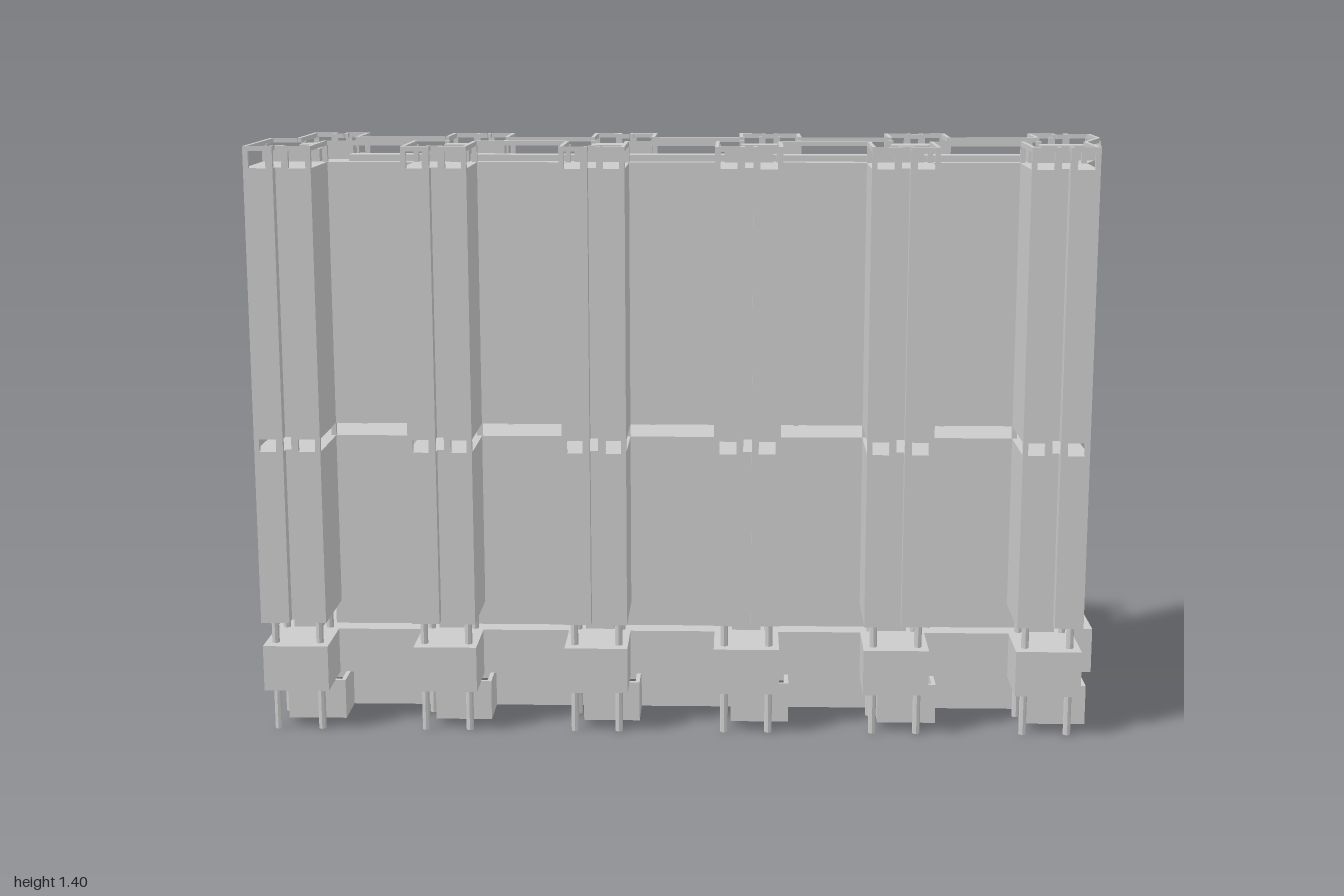
import * as THREE from 'three';

const grey = new THREE.MeshStandardMaterial({ color: 0xcccccc, flatShading: true });

// x ranges of the wings, front (left to right); the back row is the front turned half round
const frontWings = [[-1, -0.845], [-0.64, -0.49], [-0.28, -0.13], [0.075, 0.23], [0.43, 0.585], [0.79, 0.945]];
const backWings = frontWings.map(([a, b]) => [-a, -b]);
backWings[5] = [-0.795, -0.935];

function add(group, name, geometry, x = 0, y = 0, z = 0) {
  const mesh = new THREE.Mesh(geometry, grey);
  mesh.name = name;
  mesh.position.set(x, y, z);
  group.add(mesh);
  return mesh;
}

// Box given by its limits
function box(group, name, x0, x1, y0, y1, z0, z1) {
  add(group, name, new THREE.BoxGeometry(x1 - x0, y1 - y0, z1 - z0), (x0 + x1) / 2, (y0 + y1) / 2, (z0 + z1) / 2);
}

// Wings as teeth of an outline, walked from a to b, with an optional notch in the tip
function teeth(wings, base, tip, notch) {
  return wings.flatMap(([a, b]) => {
    const c = (a + b) / 2, d = 0.01 * Math.sign(b - a), inner = tip - 0.03 * Math.sign(tip);
    const cut = notch ? [[c - d, tip], [c - d, inner], [c + d, inner], [c + d, tip]] : [];
    return [[a, base], [a, tip], ...cut, [b, tip], [b, base]];
  });
}

// Upright solid from an x-z outline
function slab(group, name, outline, y0, y1) {
  const shape = new THREE.Shape(outline.map(([x, z]) => new THREE.Vector2(x, -z)));
  const geo = new THREE.ExtrudeGeometry(shape, { depth: y1 - y0, bevelEnabled: false });
  geo.rotateX(-Math.PI / 2);
  add(group, name, geo, 0, y0, 0);
}

// Thin walls or rails along every edge of an outline, kept just inside it
function edges(group, name, outline, y0, y1, t) {
  outline.forEach(([x, z], i) => {
    const [u, v] = outline[(i + 1) % outline.length];
    const len = Math.hypot(u - x, v - z);
    if (len < 0.001) return;
    const nx = (v - z) / len, nz = -(u - x) / len;
    const mesh = add(group, name, new THREE.BoxGeometry(len, y1 - y0, t),
      (x + u) / 2 + nx * t / 2, (y0 + y1) / 2, (z + v) / 2 + nz * t / 2);
    mesh.rotation.y = Math.atan2(-(v - z), u - x);
  });
}

export function createModel() {
  const model = new THREE.Group();
  model.name = 'towerBlock';

  // Tower: two tall stages on the same notched footprint
  const tower = new THREE.Group();
  tower.name = 'tower';
  model.add(tower);
  const plan = [[-1, -0.045], ...teeth(frontWings, 0.055, 0.257, true),
    ...teeth(backWings, -0.1, -0.257, true), [-0.935, -0.045]];
  slab(tower, 'lowerStage', plan, 0.275, 0.69);
  slab(tower, 'upperStage', plan, 0.72, 1.35);
  edges(tower, 'roofRail', plan, 1.389, 1.4, 0.009);

  // Posts in the open floor and under the roof rail
  for (const [wings, base, tip] of [[frontWings, 0.055, 0.251], [backWings, -0.1, -0.251]]) {
    for (const [a, b] of wings) {
      const lo = Math.min(a, b), hi = Math.max(a, b), c = (a + b) / 2;
      for (const [y0, y1] of [[0.69, 0.72], [1.35, 1.392]]) {
        for (const x of [lo + 0.006, hi - 0.006]) {
          for (const z of [tip, base - 0.006 * Math.sign(base)])
            box(tower, 'cornerPost', x - 0.006, x + 0.006, y0, y1, z - 0.006, z + 0.006);
        }
        for (const x of [c - 0.018, c + 0.018])
          box(tower, 'notchPost', x - 0.008, x + 0.008, y0, y1, tip - 0.006, tip + 0.006);
      }
    }
  }

  // Machine rooms on the roof
  const roof = new THREE.Group();
  roof.name = 'roofRooms';
  model.add(roof);
  box(roof, 'roofSpine', -0.8, 0.8, 1.35, 1.365, -0.03, 0.02);
  for (const [a, b] of frontWings)
    box(roof, 'frontRoofRoom', a + 0.02, b - 0.02, 1.35, 1.38, -0.01, 0.045);
  for (const [a, b] of backWings)
    box(roof, 'backRoofRoom', b + 0.005, a - 0.005, 1.35, 1.385, -0.1, -0.04);

  // Recessed storey between podium and tower
  const base = new THREE.Group();
  base.name = 'base';
  model.add(base);
  box(base, 'recessedStorey', -0.86, 0.86, 0.21, 0.28, -0.08, 0.05);
  for (const [a, b] of frontWings) {
    const c = (a + b) / 2;
    box(base, 'lobby', c - 0.035, c + 0.035, 0.21, 0.28, 0.04, 0.085);
  }

  // Podium: a plain layer, and an upper layer with slanted recesses at the back
  const podiumFront = [[-1, -0.045], ...teeth(frontWings, 0.1, 0.25, false), [0.945, 0.055], [1, 0.055], [1, -0.255]];
  const podiumEnd = [[-0.935, -0.255], [-0.935, -0.045]];
  slab(base, 'podiumLower', [...podiumFront, [0.85, -0.255], [0.85, -0.24], [-0.795, -0.24], [-0.795, -0.255], ...podiumEnd], 0.105, 0.16);
  slab(base, 'podiumUpper', [...podiumFront, [0.85, -0.255], [0.85, -0.24], [0.8, -0.24], [0.73, -0.19], [0.05, -0.19], [0, -0.24],
    [-0.24, -0.24], [-0.31, -0.19], [-0.69, -0.19], [-0.77, -0.24], [-0.795, -0.24], [-0.795, -0.255], ...podiumEnd], 0.16, 0.215);

  // Open-bottomed skirt under the podium
  const skirtTeeth = frontWings.map(([a, b]) => [a + 0.04, b + 0.025]);
  edges(base, 'skirtWall', [[-0.96, -0.16], ...teeth(skirtTeeth, 0.06, 0.17, false), [0.97, -0.16]], 0.01, 0.106, 0.01);

  // Stilts passing down from the wings to the ground
  const stilt = new THREE.CylinderGeometry(0.009, 0.009, 0.28, 8);
  for (const [wings, zs] of [[frontWings, [0.215, 0.085]], [backWings, [-0.21, -0.09]]]) {
    for (const [a, b] of wings) {
      for (const side of [-0.053, 0.053])
        for (const z of zs) add(base, 'stilt', stilt, (a + b) / 2 + side, 0.14, z);
    }
  }
  return model;
}
